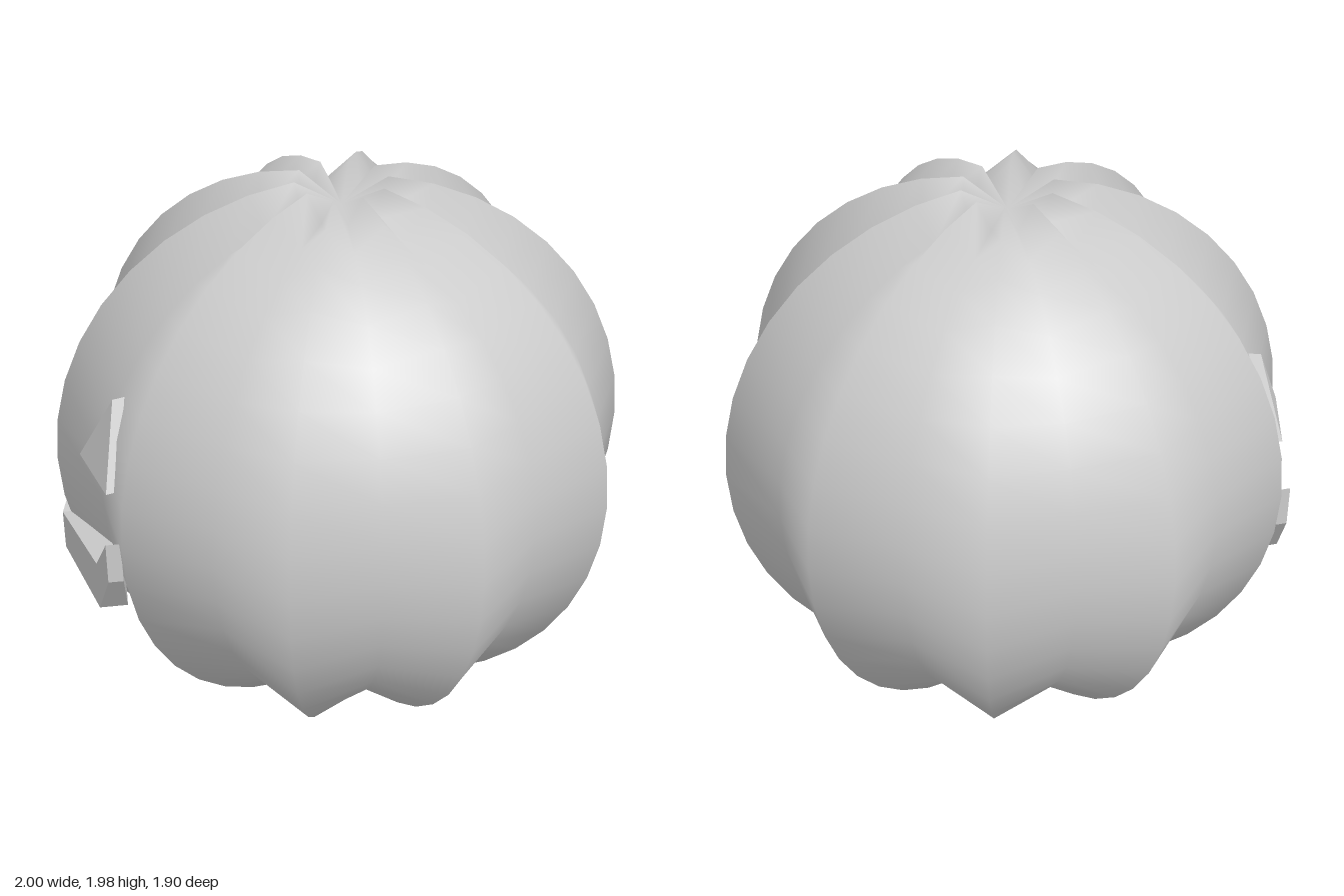
import * as THREE from 'three';
import { mergeVertices } from 'three/addons/utils/BufferGeometryUtils.js';

const CENTER_Y = Math.cos(Math.PI / 20);
const material = new THREE.MeshStandardMaterial({ color: 0xcccccc });
const flat = new THREE.MeshStandardMaterial({ color: 0xcccccc, flatShading: true });

function part(name, geometry, mat) {
  const mesh = new THREE.Mesh(geometry, mat);
  mesh.name = name;
  return mesh;
}

// Closed solid through convex rings; rings run counterclockwise seen from the last one
function loft(rings) {
  const pos = [];
  const tri = (a, b, c) => pos.push(...a, ...b, ...c);
  const n = rings[0].length;
  for (let i = 0; i < rings.length - 1; i++) {
    for (let j = 0; j < n; j++) {
      const k = (j + 1) % n;
      tri(rings[i][j], rings[i][k], rings[i + 1][k]);
      tri(rings[i][j], rings[i + 1][k], rings[i + 1][j]);
    }
  }
  const first = rings[0], last = rings[rings.length - 1];
  for (let j = 1; j < n - 1; j++) {
    tri(first[0], first[j + 1], first[j]);
    tri(last[0], last[j], last[j + 1]);
  }
  const g = new THREE.BufferGeometry();
  g.setAttribute('position', new THREE.Float32BufferAttribute(pos, 3));
  g.computeVertexNormals();
  return g;
}

// Ten-lobed body: a sphere whose odd meridians and poles are drawn in
function bodyGeometry() {
  const SEG = 20;
  let g = new THREE.SphereGeometry(1, SEG, SEG);
  const p = g.attributes.position;
  for (let i = 0; i < p.count; i++) {
    const col = i % (SEG + 1), row = Math.floor(i / (SEG + 1));
    const s = col % 2 || row === 0 || row === SEG ? 0.9 : 1;
    p.setXYZ(i, p.getX(i) * s, p.getY(i) * s, p.getZ(i) * s);
  }
  g.deleteAttribute('uv');
  g.deleteAttribute('normal');
  g = mergeVertices(g, 1e-4);
  g.computeVertexNormals();
  g.translate(0, CENTER_Y, 0);
  return g;
}

// Triangular eye plate leaning with the body
function eyeGeometry(side) {
  const inner = [-0.92, 1.13, 0.21 * side];
  const outer = [-0.845, 1.13, 0.47 * side];
  const apex = [-0.8, 1.4, 0.325 * side];
  const front = side > 0 ? [inner, outer, apex] : [outer, inner, apex];
  const back = front.map(([x, y, z]) => [x + 0.04, y, z - 0.012 * side]);
  return loft([back, front]);
}

// Grinning mouth bar: stations of z, front x, back x, bottom y, top y
function mouthGeometry() {
  const half = [
    [0, -1.0, -0.9, 0.61, 0.76],
    [0.4, -0.895, -0.8, 0.625, 0.81],
    [0.54, -0.86, -0.81, 0.83, 0.98],
  ];
  const mirrored = half.slice(1).reverse().map(([z, ...rest]) => [-z, ...rest]);
  return loft([...mirrored, ...half].map(([z, xf, xb, y0, y1]) => [
    [xf, y0, z], [xb, y0, z], [xb, y1, z], [xf, y1, z],
  ]));
}

export function createModel() {
  const group = new THREE.Group();
  group.name = 'carvedPumpkin';
  group.add(part('body', bodyGeometry(), material));
  group.add(part('leftEye', eyeGeometry(1), flat));
  group.add(part('rightEye', eyeGeometry(-1), flat));
  group.add(part('mouth', mouthGeometry(), flat));
  return group;
}
